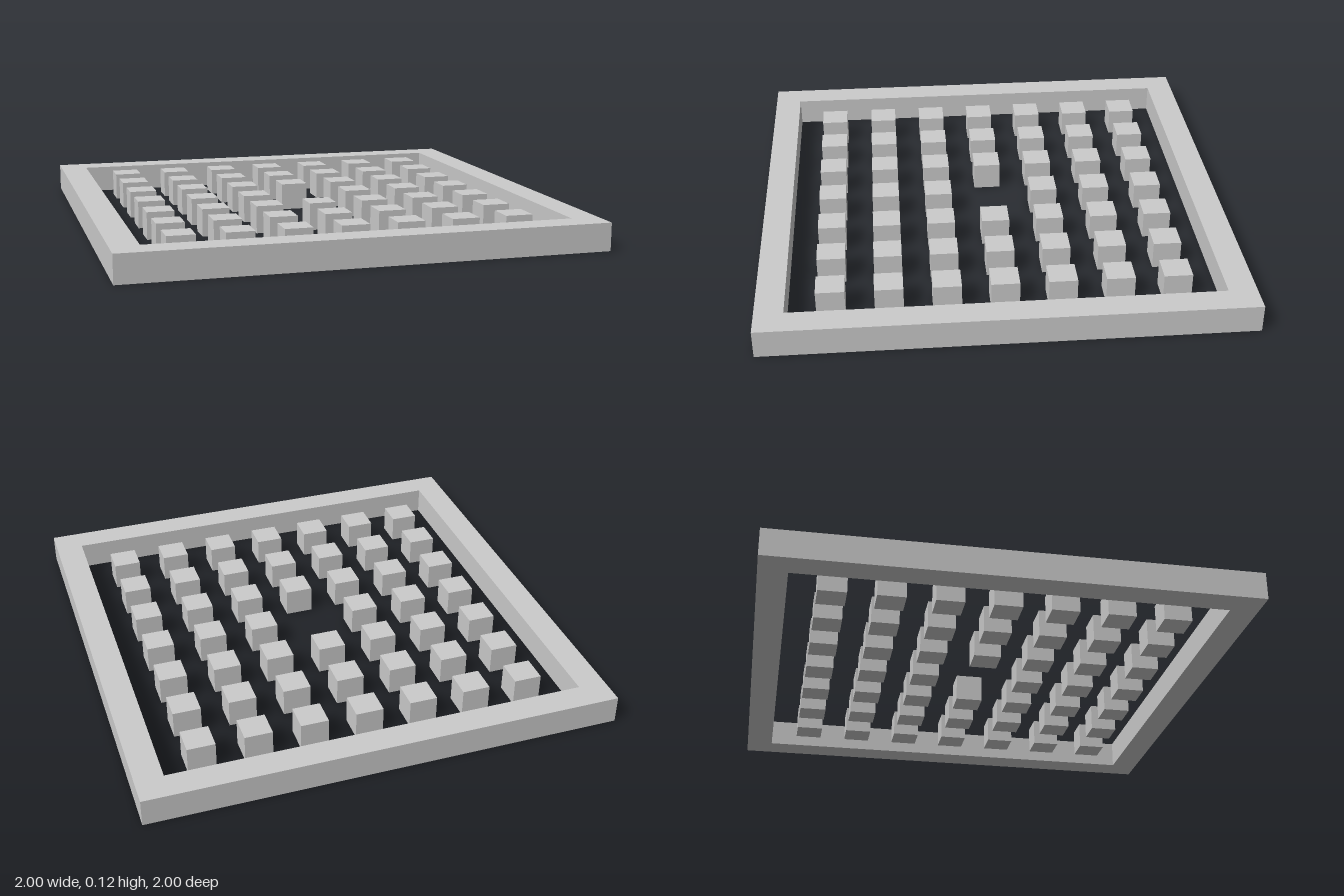
import * as THREE from 'three';

export function createModel() {
  const model = new THREE.Group();
  model.name = 'framedBlockGrid';
  const material = new THREE.MeshStandardMaterial({ color: 0xcccccc, flatShading: true });

  // The whole layout sits on a 17 x 17 lattice of cubic cells
  const cell = 2 / 17;

  // Square frame, one cell wide and one cell tall
  const square = (Type, half) => new Type([
    new THREE.Vector2(-half, -half), new THREE.Vector2(half, -half),
    new THREE.Vector2(half, half), new THREE.Vector2(-half, half),
  ]);
  const outline = square(THREE.Shape, 1);
  outline.holes.push(square(THREE.Path, 1 - cell));
  const frameGeometry = new THREE.ExtrudeGeometry(outline, { depth: cell, bevelEnabled: false });
  frameGeometry.rotateX(-Math.PI / 2);
  const frame = new THREE.Mesh(frameGeometry, material);
  frame.name = 'frame';
  model.add(frame);

  // 7 x 7 grid of cubes, every second cell, with the middle one left out
  const blocks = new THREE.Group();
  blocks.name = 'blocks';
  const cube = new THREE.BoxGeometry(cell, cell, cell);
  for (let i = -3; i <= 3; i++) {
    for (let j = -3; j <= 3; j++) {
      if (i === 0 && j === 0) continue;
      const block = new THREE.Mesh(cube, material);
      block.name = 'block';
      block.position.set(i * 2 * cell, cell / 2, j * 2 * cell);
      blocks.add(block);
    }
  }
  model.add(blocks);

  return model;
}
